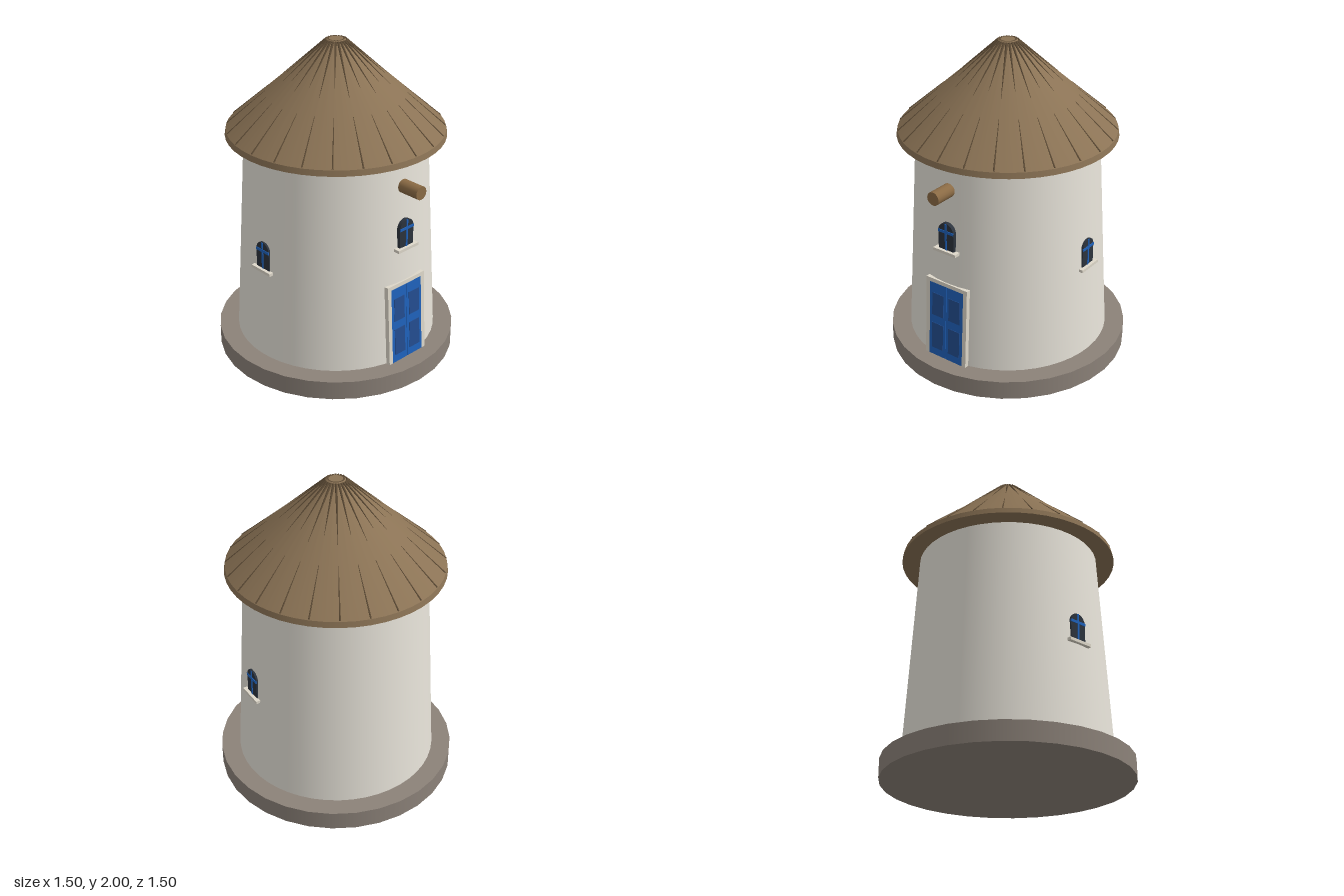
import * as THREE from 'three';

const mat = (name, color, side = THREE.FrontSide) => {
  const m = new THREE.MeshStandardMaterial({ color, side });
  m.name = name;
  return m;
};
const plaster = mat('plaster', 0xe8e4da);
const trim = mat('trim', 0xded8ca);
const stone = mat('stone', 0x8c8279);
const thatch = mat('thatch', 0x8b7355);
const darkThatch = mat('dark thatch', 0x5e4c36);
const wood = mat('wood', 0x8b6b45);
const blue = mat('blue paint', 0x1f62bb);
const darkBlue = mat('dark blue paint', 0x234d90);
const glass = mat('dark glass', 0x2c333d);

function add(parent, name, geometry, material, x = 0, y = 0, z = 0) {
  const mesh = new THREE.Mesh(geometry, material);
  mesh.name = name;
  mesh.position.set(x, y, z);
  parent.add(mesh);
  return mesh;
}

// Box given by its x and y limits and its front face z
function plate(parent, name, material, x0, x1, y0, y1, front, depth) {
  return add(parent, name, new THREE.BoxGeometry(x1 - x0, y1 - y0, depth), material,
    (x0 + x1) / 2, (y0 + y1) / 2, front - depth / 2);
}

// Tapered round bar between two points
function bar(parent, name, material, from, to, r0, r1, sides) {
  const dir = to.clone().sub(from);
  const mid = from.clone().add(to).multiplyScalar(0.5);
  const mesh = add(parent, name, new THREE.CylinderGeometry(r1, r0, dir.length(), sides), material, mid.x, mid.y, mid.z);
  mesh.quaternion.setFromUnitVectors(new THREE.Vector3(0, 1, 0), dir.normalize());
  return mesh;
}

// Arched window with cross bars and sill; origin at the sill top, on the glass front
function makeWindow(name) {
  const g = new THREE.Group();
  g.name = name;
  const w = 0.056, spring = 0.118;
  const arch = new THREE.Shape();
  arch.moveTo(-w, 0);
  arch.lineTo(w, 0);
  arch.lineTo(w, spring);
  arch.absarc(0, spring, w, 0, Math.PI, false);
  arch.closePath();
  const pane = new THREE.ExtrudeGeometry(arch, { depth: 0.025, bevelEnabled: false, curveSegments: 12 });
  add(g, 'windowGlass', pane, glass, 0, 0, -0.025);
  plate(g, 'verticalBar', blue, -0.006, 0.006, 0, 0.172, 0.004, 0.008);
  plate(g, 'horizontalBar', blue, -w, w, 0.11, 0.127, 0.004, 0.008);
  plate(g, 'windowSill', trim, -0.083, 0.083, -0.018, 0, 0.02, 0.05);
  return g;
}

function makeDoor() {
  const g = new THREE.Group();
  g.name = 'door';
  // Frame around the opening
  const frame = new THREE.Shape([
    [-0.155, 0], [-0.127, 0], [-0.127, 0.5], [0.127, 0.5],
    [0.127, 0], [0.155, 0], [0.155, 0.525], [-0.155, 0.525],
  ].map(([x, y]) => new THREE.Vector2(x, y)));
  add(g, 'doorFrame', new THREE.ExtrudeGeometry(frame, { depth: 0.045, bevelEnabled: false }), trim, 0, 0, -0.037);
  // Backing seen in the gap between the leaves
  plate(g, 'doorGap', darkBlue, -0.01, 0.01, 0, 0.5, 0.003, 0.008);
  for (const s of [-1, 1]) {
    const [a, b] = s < 0 ? [-0.127, -0.0015] : [0.0015, 0.127];
    plate(g, 'doorLeaf', blue, a, b, 0, 0.5, 0.008, 0.04);
    for (const [y0, y1] of [[0.05, 0.225], [0.28, 0.432]]) {
      const cx = s * 0.063;
      plate(g, 'doorPanel', darkBlue, cx - 0.043, cx + 0.043, y0, y1, 0.011, 0.006);
    }
  }
  return g;
}

function makeRoof() {
  const g = new THREE.Group();
  g.name = 'roof';
  add(g, 'roofEave', new THREE.CylinderGeometry(0.66, 0.667, 0.035, 48), thatch, 0, 1.4425, 0);
  add(g, 'roofCone', new THREE.CylinderGeometry(0.052, 0.66, 0.54, 48), thatch, 0, 1.73, 0);
  const ring = add(g, 'topRing', new THREE.RingGeometry(0.042, 0.052, 32), darkThatch, 0, 2.001, 0);
  ring.rotation.x = -Math.PI / 2;
  // Radial thatch ribs, sinking into the cone at mid slope
  const onCone = (r, a) => new THREE.Vector3(Math.sin(a) * r, 1.46 + 0.54 * (0.66 - r) / 0.608, Math.cos(a) * r);
  for (let i = 0; i < 24; i++) {
    const a = i * Math.PI / 12;
    bar(g, 'upperRib', darkThatch, onCone(i % 2 ? 0.29 : 0.33, a), onCone(0.058, a), 0.001, 0.008, 6);
    bar(g, 'lowerRib', darkThatch, onCone(0.656, a), onCone(0.42, a), 0.005, 0.0015, 6);
  }
  return g;
}

export function createModel() {
  const model = new THREE.Group();
  model.name = 'roundTower';

  add(model, 'stoneBase', new THREE.CylinderGeometry(0.75, 0.75, 0.12, 32), stone, 0, 0.06, 0);
  add(model, 'towerWall', new THREE.CylinderGeometry(0.555, 0.63, 1.31, 48), plaster, 0, 0.775, 0);
  model.add(makeRoof());

  // Door leans back with the wall
  const door = makeDoor();
  door.position.set(0, 0.12, 0.631);
  door.rotation.x = -0.0575;
  model.add(door);

  // One window above the door, one on each side
  const front = makeWindow('frontWindow');
  front.position.set(0, 0.873, 0.602);
  model.add(front);
  for (const s of [-1, 1]) {
    const side = makeWindow(s > 0 ? 'leftWindow' : 'rightWindow');
    side.position.set(s * 0.598, 0.705, 0);
    side.rotation.y = s * Math.PI / 2;
    model.add(side);
  }

  // Beam end above the front window
  bar(model, 'woodBeam', wood, new THREE.Vector3(0, 1.25, 0.5), new THREE.Vector3(0, 1.25, 0.705), 0.042, 0.042, 16);
  return model;
}
